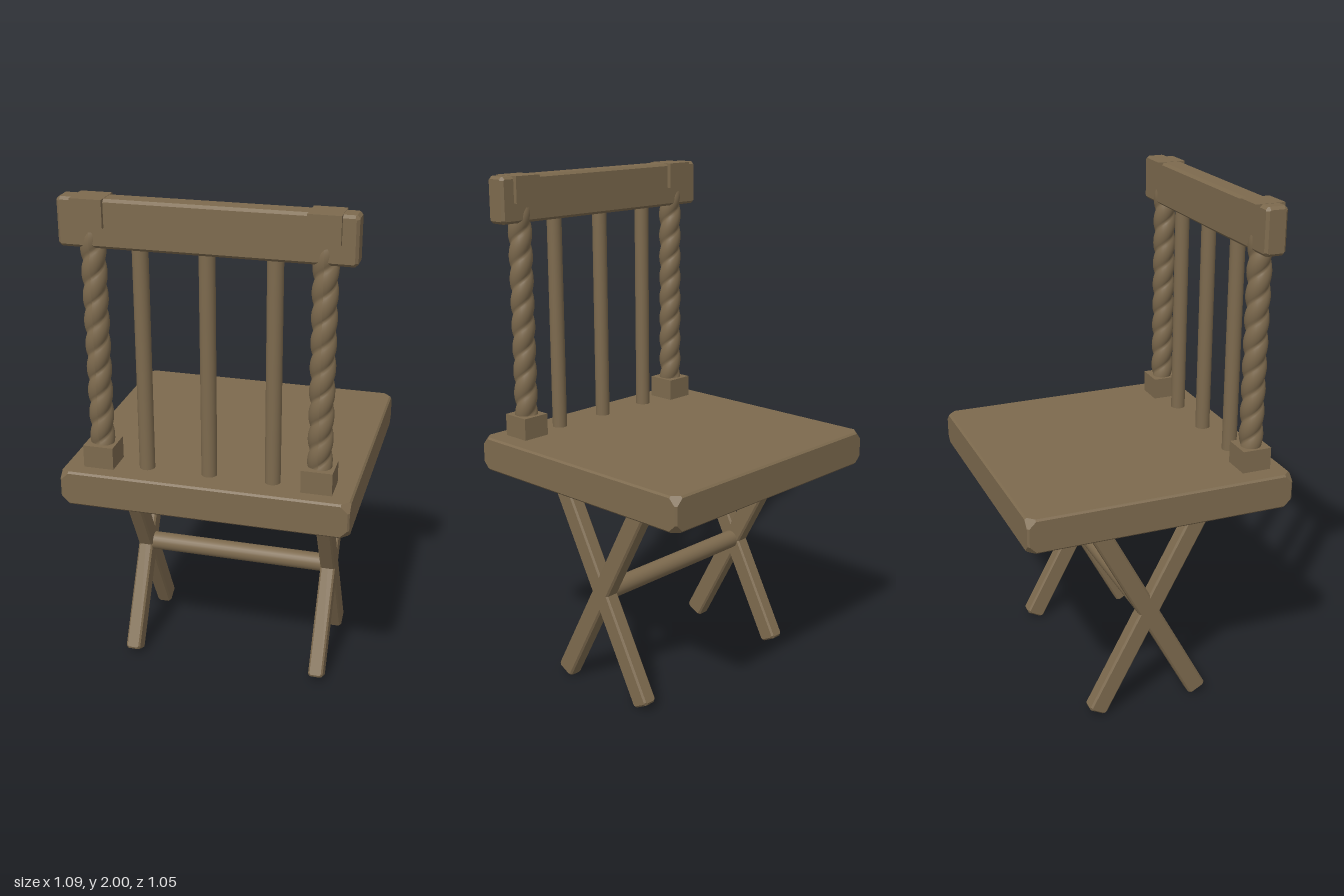
import * as THREE from 'three';
import { ConvexGeometry } from 'three/addons/geometries/ConvexGeometry.js';

// Box with bevelled edges (b) and clipped corners (c)
function bevelBox(w, h, d, b, c) {
  const pts = [];
  for (const sx of [-1, 1]) for (const sy of [-1, 1]) for (const sz of [-1, 1]) {
    const add = (ix, iy, iz) => pts.push(new THREE.Vector3(
      sx * (w / 2 - ix), sy * (h / 2 - iy), sz * (d / 2 - iz)));
    add(c, 0, b); add(c, b, 0);
    add(0, c, b); add(b, c, 0);
    add(0, b, c); add(b, 0, c);
  }
  return new ConvexGeometry(pts);
}

// Round post whose two-lobed section turns as it rises
function twistedPost(radius, height, pitch) {
  const geo = new THREE.CylinderGeometry(radius, radius, height, 24, 108, true);
  const p = geo.attributes.position;
  for (let i = 0; i < p.count; i++) {
    const a = Math.atan2(p.getX(i), p.getZ(i)) - (p.getY(i) / pitch) * Math.PI * 2;
    const r = radius * (0.78 + 0.22 * Math.pow(Math.abs(Math.cos(a)), 0.7));
    const s = r / radius;
    p.setX(i, p.getX(i) * s);
    p.setZ(i, p.getZ(i) * s);
  }
  geo.computeVertexNormals();
  return geo;
}

export function createModel() {
  const model = new THREE.Group();
  model.name = 'chair';
  const wood = new THREE.MeshStandardMaterial({ color: 0x7d6a4e });
  wood.name = 'brownWood';

  const add = (name, geo, x, y, z) => {
    const mesh = new THREE.Mesh(geo, wood);
    mesh.name = name;
    mesh.position.set(x, y, z);
    model.add(mesh);
    return mesh;
  };

  const backZ = 0.408;

  // Seat slab
  add('seat', bevelBox(1.09, 0.135, 1.05, 0.007, 0.032), 0, 0.9175, 0);

  // Top rail
  add('topRail', bevelBox(1.05, 0.174, 0.084, 0.01, 0.014), 0, 1.912, backZ);

  // Thin spindles
  const spindle = new THREE.CylinderGeometry(0.029, 0.029, 0.87, 20);
  for (const x of [-0.24, 0, 0.24]) add('spindle', spindle, x, 1.415, backZ);

  const post = twistedPost(0.046, 0.86, 0.18);
  const leg = bevelBox(0.06, 0.925, 0.076, 0.007, 0.012);
  for (const side of [-1, 1]) {
    const label = side > 0 ? 'left' : 'right';

    // Twisted back post with square end blocks
    const x = side * 0.412;
    add(label + 'PostBase', new THREE.BoxGeometry(0.115, 0.09, 0.115), x, 1.027, backZ);
    add(label + 'TwistedPost', post, x, 1.49, backZ);
    add(label + 'PostCap', new THREE.BoxGeometry(0.115, 0.1, 0.115), x, 1.95, backZ);

    // Crossed legs
    for (const tilt of [-1, 1]) {
      add(label + 'CrossLeg', leg, side * 0.39, 0.426, 0).rotation.x = tilt * 0.49;
    }
  }

  // Stretcher through the leg crossings
  add('stretcher', new THREE.CylinderGeometry(0.037, 0.037, 0.74, 24), 0, 0.427, 0)
    .rotation.z = Math.PI / 2;

  return model;
}
